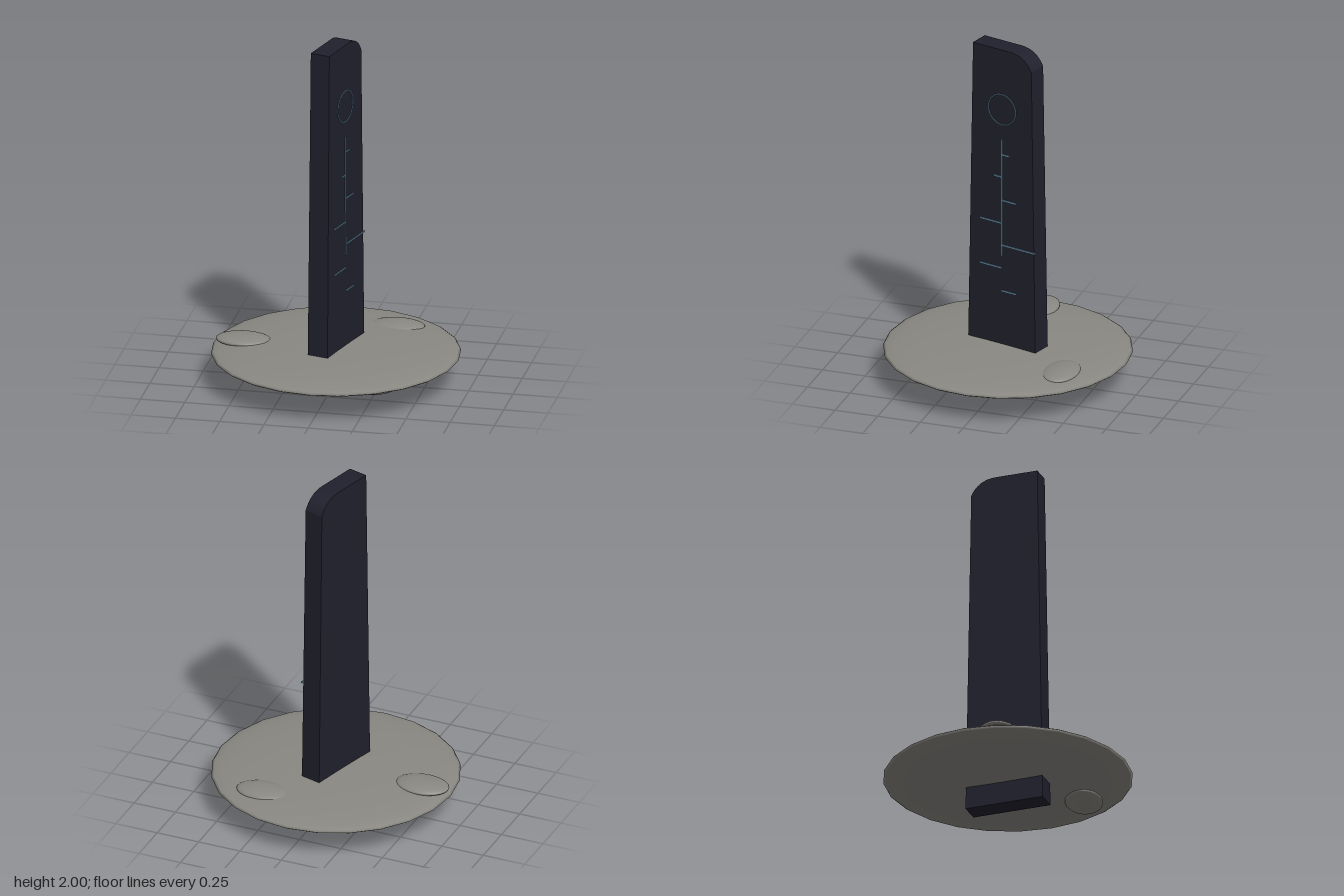
import * as THREE from 'three';

const stone = new THREE.MeshStandardMaterial({ color: 0x8a8882 });
stone.name = 'greyStone';
const dark = new THREE.MeshStandardMaterial({ color: 0x20202d });
dark.name = 'darkSlate';
const glow = new THREE.MeshStandardMaterial({ color: 0x5f88a0 });
glow.name = 'paleBlue';

function add(parent, name, geometry, material, x = 0, y = 0, z = 0) {
  const mesh = new THREE.Mesh(geometry, material);
  mesh.name = name;
  mesh.position.set(x, y, z);
  parent.add(mesh);
  return mesh;
}

// Half thickness of the slab at height y
const halfThickness = (y) => 0.0614 - 0.002 * y;

// Tapered slab with one rounded upper corner, profile drawn in z and y
function slabGeometry() {
  const s = new THREE.Shape();
  s.moveTo(-0.228, 0.005);
  s.lineTo(0.228, 0.005);
  s.lineTo(0.195, 2);
  s.lineTo(-0.06, 2);
  s.quadraticCurveTo(-0.155, 1.995, -0.196, 1.91);
  s.closePath();
  const g = new THREE.ExtrudeGeometry(s, { depth: 2, bevelEnabled: false, curveSegments: 8 });
  g.translate(0, 0, -1);
  g.rotateY(-Math.PI / 2);
  const p = g.attributes.position;
  for (let i = 0; i < p.count; i++) p.setX(i, p.getX(i) * halfThickness(p.getY(i)));
  g.computeVertexNormals();
  return g;
}

export function createModel() {
  const model = new THREE.Group();
  model.name = 'monolith';

  // Lens-shaped base disc
  const disc = new THREE.SphereGeometry(0.693, 24, 16);
  disc.scale(1, 0.07, 1);
  add(model, 'baseDisc', disc, stone, 0, 0.18, 0);

  // Flattened pebbles: two on top, one underneath
  const pebbles = [
    [-0.523, 0.214, 0, 0.108],
    [0.262, 0.205, -0.405, 0.102],
    [0.262, 0.139, 0.395, 0.106],
  ];
  for (const [x, y, z, rz] of pebbles) {
    const pebble = new THREE.SphereGeometry(1, 24, 16);
    pebble.scale(0.155, 0.028, rz);
    add(model, 'pebble', pebble, stone, x, y, z);
  }

  // Turned slab and its engraved lines
  const tower = new THREE.Group();
  tower.name = 'tower';
  tower.rotation.y = -Math.PI / 12;
  model.add(tower);
  add(tower, 'slab', slabGeometry(), dark);

  const ring = new THREE.TorusGeometry(0.091, 0.0035, 6, 40);
  ring.rotateY(Math.PI / 2);
  add(tower, 'ringMark', ring, glow, halfThickness(1.64), 1.64, 0);

  add(tower, 'stemMark', new THREE.BoxGeometry(0.008, 0.7, 0.008), glow, halfThickness(1.11), 1.11, 0);

  // Ticks: height, signed length along z from the stem
  const ticks = [
    [1.37, -0.05], [1.235, 0.05], [1.095, -0.097], [0.957, 0.145],
    [0.825, -0.23], [0.687, 0.145], [0.55, -0.097],
  ];
  for (const [y, len] of ticks) {
    add(tower, 'tickMark', new THREE.BoxGeometry(0.008, 0.008, Math.abs(len)), glow,
      halfThickness(y), y, len / 2);
  }
  return model;
}
